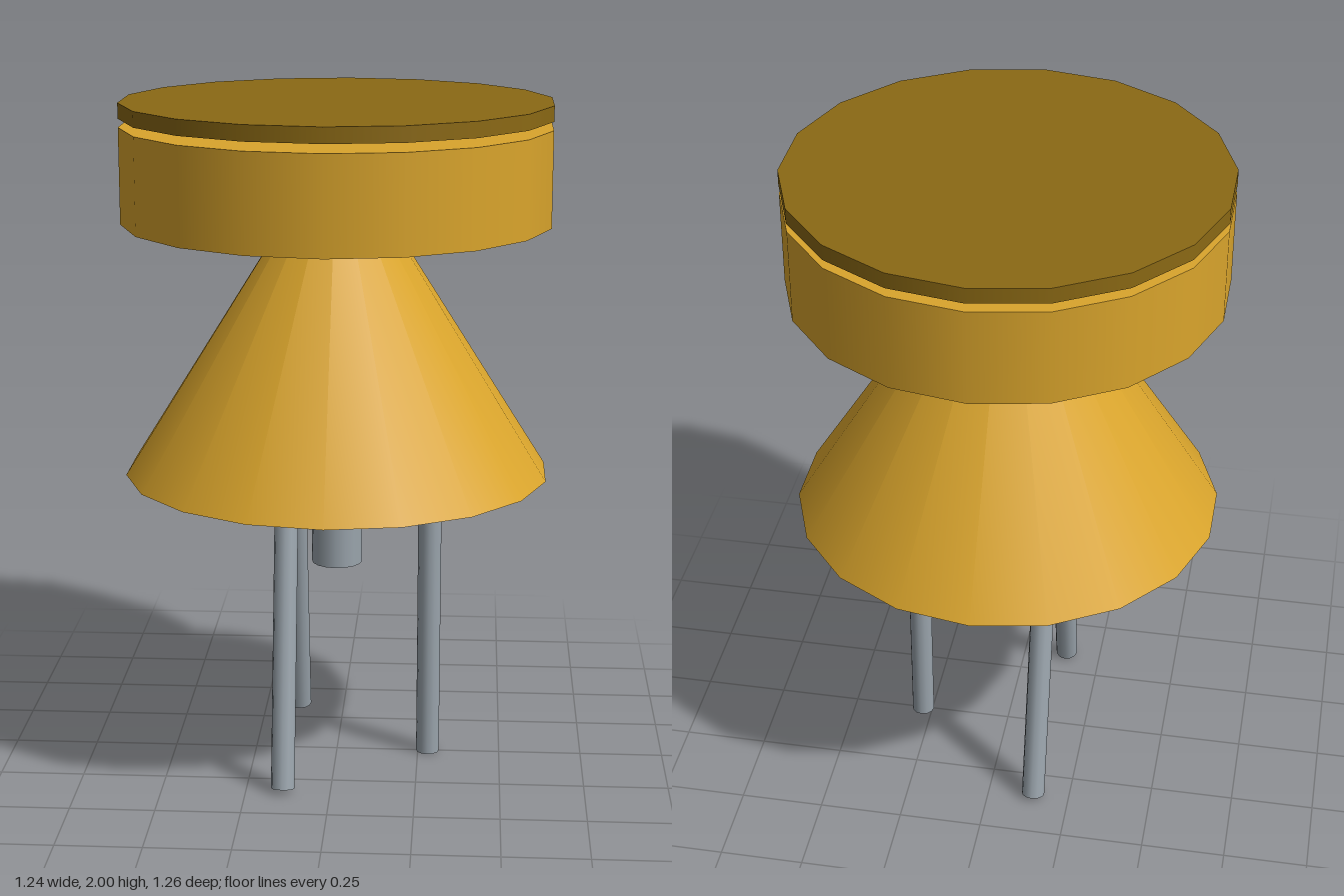
import * as THREE from 'three';

const SIDES = 18;
const RADIUS = 0.63;

export function createModel() {
  const model = new THREE.Group();
  model.name = 'hopperFeeder';

  const gold = new THREE.MeshStandardMaterial({ color: 0xdaa52c });
  const darkGold = new THREE.MeshStandardMaterial({ color: 0x8b6914 });
  const steel = new THREE.MeshStandardMaterial({ color: 0x9aa4ac });

  const add = (name, geometry, material, x, y, z) => {
    const mesh = new THREE.Mesh(geometry, material);
    mesh.name = name;
    mesh.position.set(x, y, z);
    model.add(mesh);
    return mesh;
  };

  // Cone whose tip runs up into the drum
  add('cone', new THREE.ConeGeometry(RADIUS, 1, SIDES), gold, 0, 1.4, 0);

  // Drum, and a thin lid held just above it
  add('drum', new THREE.CylinderGeometry(RADIUS, RADIUS, 0.28, SIDES), gold, 0, 1.79, 0);
  add('lid', new THREE.CylinderGeometry(RADIUS, RADIUS, 0.045, SIDES), darkGold, 0, 1.9775, 0);

  // Small canister under the cone
  add('canister', new THREE.CylinderGeometry(0.076, 0.076, 0.2, 16), steel, 0, 0.71, 0);

  // Three legs in a ring; the front and back ones splay out along z
  const legGeometry = new THREE.CylinderGeometry(0.035, 0.035, 0.91, 12);
  for (let i = 0; i < 3; i++) {
    const angle = (i * Math.PI * 2) / 3;
    const leg = add('leg', legGeometry, steel, Math.cos(angle) * 0.28, 0.455, Math.sin(angle) * 0.28);
    leg.rotation.x = -Math.sin(angle) * 0.265;
  }

  return model;
}
